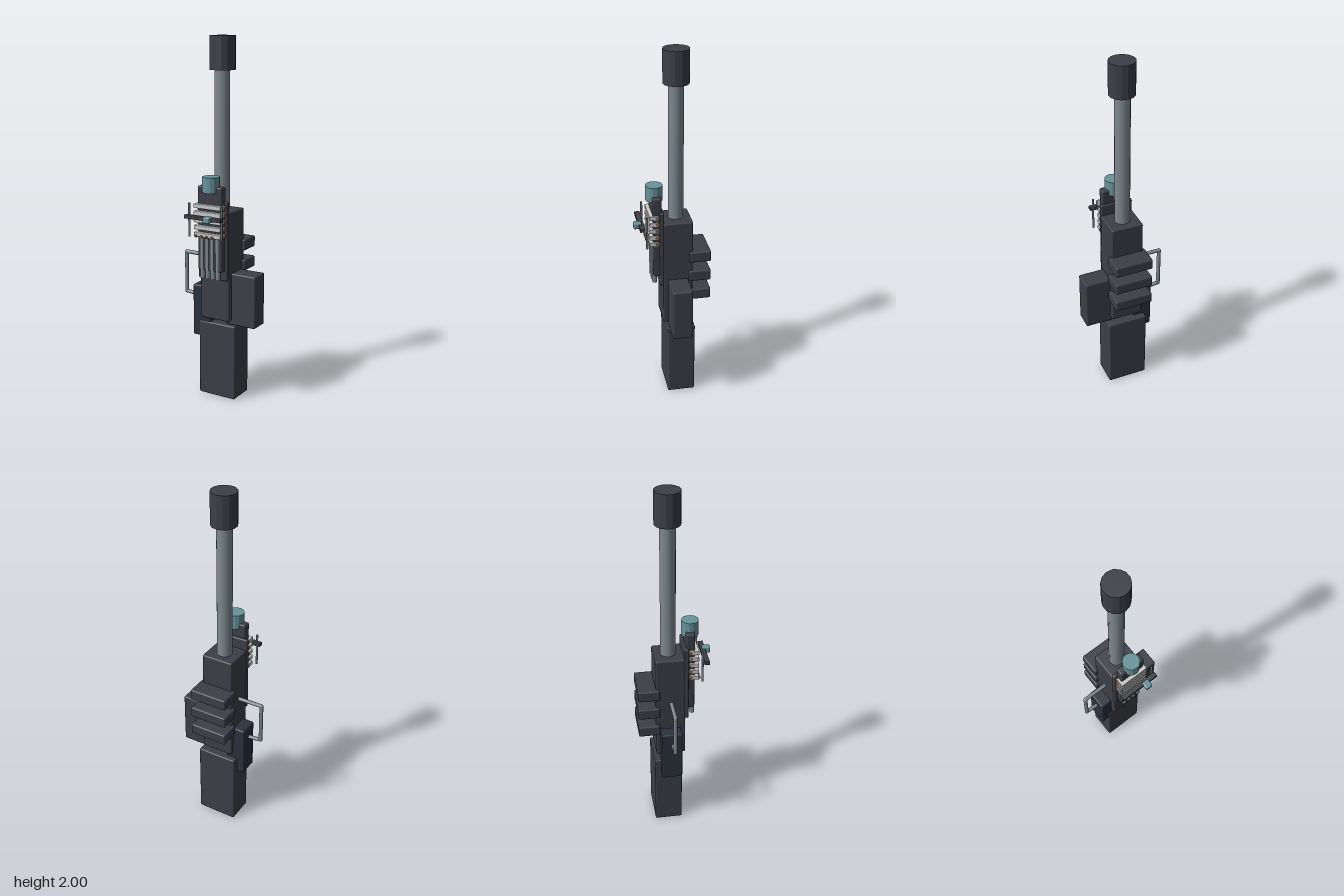
import * as THREE from 'three';
import { RoundedBoxGeometry } from 'three/addons/geometries/RoundedBoxGeometry.js';

const mat = (color, flatShading = false) => new THREE.MeshStandardMaterial({ color, flatShading });

export function createModel() {
  const model = new THREE.Group();
  const dark = mat(0x3d3f47), darkFlat = mat(0x3d3f47, true), navy = mat(0x2a323c);
  const steel = mat(0x7d898f), teal = mat(0x66949a), tealFlat = mat(0x66949a, true);
  const pale = mat(0xc8c6c4), copper = mat(0xb4714a);

  const add = (name, geometry, material) => {
    const mesh = new THREE.Mesh(geometry, material);
    mesh.name = name;
    model.add(mesh);
    return mesh;
  };
  // Box from its minimum and maximum on each axis, with softened edges
  const box = (name, [x0, x1], [y0, y1], [z0, z1], material, radius = 0.008) => {
    const w = x1 - x0, h = y1 - y0, d = z1 - z0;
    const r = Math.min(radius, Math.min(w, h, d) * 0.3);
    add(name, new RoundedBoxGeometry(w, h, d, 2, r), material)
      .position.set((x0 + x1) / 2, (y0 + y1) / 2, (z0 + z1) / 2);
  };
  // Upright cylinder
  const post = (name, x, z, r, y0, y1, material, sides = 12) => {
    add(name, new THREE.CylinderGeometry(r, r, y1 - y0, sides), material)
      .position.set(x, (y0 + y1) / 2, z);
  };

  // Main column
  box('stock', [-0.112, 0.117], [0, 0.433], [-0.123, 0.032], dark);
  box('receiver', [-0.088, 0.093], [0.463, 1.077], [-0.111, 0.053], dark);
  post('barrel', 0, -0.031, 0.042, 1.05, 1.85, steel, 16);
  post('muzzle', 0.002, -0.031, 0.07, 1.823, 2, darkFlat, 14);

  // Side boxes
  box('magazine', [0.058, 0.238], [0.44, 0.735], [-0.085, 0.025], dark);
  box('sidePack', [-0.155, -0.042], [0.34, 0.637], [-0.087, 0.027], navy);

  // Cooling fins at the back
  for (let i = 0; i < 3; i++) {
    const y = 0.87 - i * 0.116;
    box('rearFin', [-0.105, 0.11], [y - 0.031, y + 0.031], [-0.209, -0.09], dark);
  }

  // Bent carrying handle: three straight bars with ball joints
  const corners = [[-0.07, 0.802], [-0.228, 0.804], [-0.228, 0.572], [-0.07, 0.556]]
    .map(([x, y]) => new THREE.Vector3(x, y, -0.025));
  for (let i = 0; i < 3; i++) {
    const bar = new THREE.LineCurve3(corners[i], corners[i + 1]);
    add('handleBar', new THREE.TubeGeometry(bar, 1, 0.011, 10), steel);
  }
  for (const corner of corners.slice(1, 3)) {
    add('handleJoint', new THREE.SphereGeometry(0.011, 10, 8), steel).position.copy(corner);
  }

  // Front plate, housing and cap
  box('frontPlate', [-0.092, 0.09], [0.7, 1.14], [0.046, 0.07], dark);
  box('housing', [-0.072, 0.076], [0.755, 1.22], [0.058, 0.105], dark);
  post('housingCap', 0.002, 0.0875, 0.047, 1.188, 1.272, tealFlat, 14);

  // Four pipes half sunk in the housing, each with a copper contact
  for (let i = 0; i < 4; i++) {
    post('pipe', -0.046 + i * 0.032, 0.095, 0.014, 0.71, 0.95, steel);
    const x = -0.068 + i * 0.033;
    box('contact', [x - 0.006, x + 0.006], [0.942, 0.955], [0.08, 0.136], copper, 0.002);
  }

  // Stack of pale slats with copper pins at their ends
  for (let i = 0; i < 5; i++) {
    const y = 1.112 - i * 0.039;
    box('slat', [-0.085, 0.082], [y - 0.012, y + 0.012], [0.075, 0.126], pale, 0.003);
    for (const x of [-0.083, 0.083]) {
      box('slatPin', [x - 0.004, x + 0.004], [y - 0.005, y + 0.005], [0.07, 0.09], copper, 0.001);
    }
  }

  // Sliding crossbar between two guide rods
  for (const x of [-0.102, 0.1]) post('guideRod', x, 0.141, 0.006, 0.945, 1.13, steel, 8);
  box('crossbar', [-0.113, 0.112], [1.05, 1.07], [0.15, 0.179], dark, 0.003);
  box('sliderKnob', [0.019, 0.058], [1.044, 1.078], [0.162, 0.206], teal, 0.007);

  return model;
}
